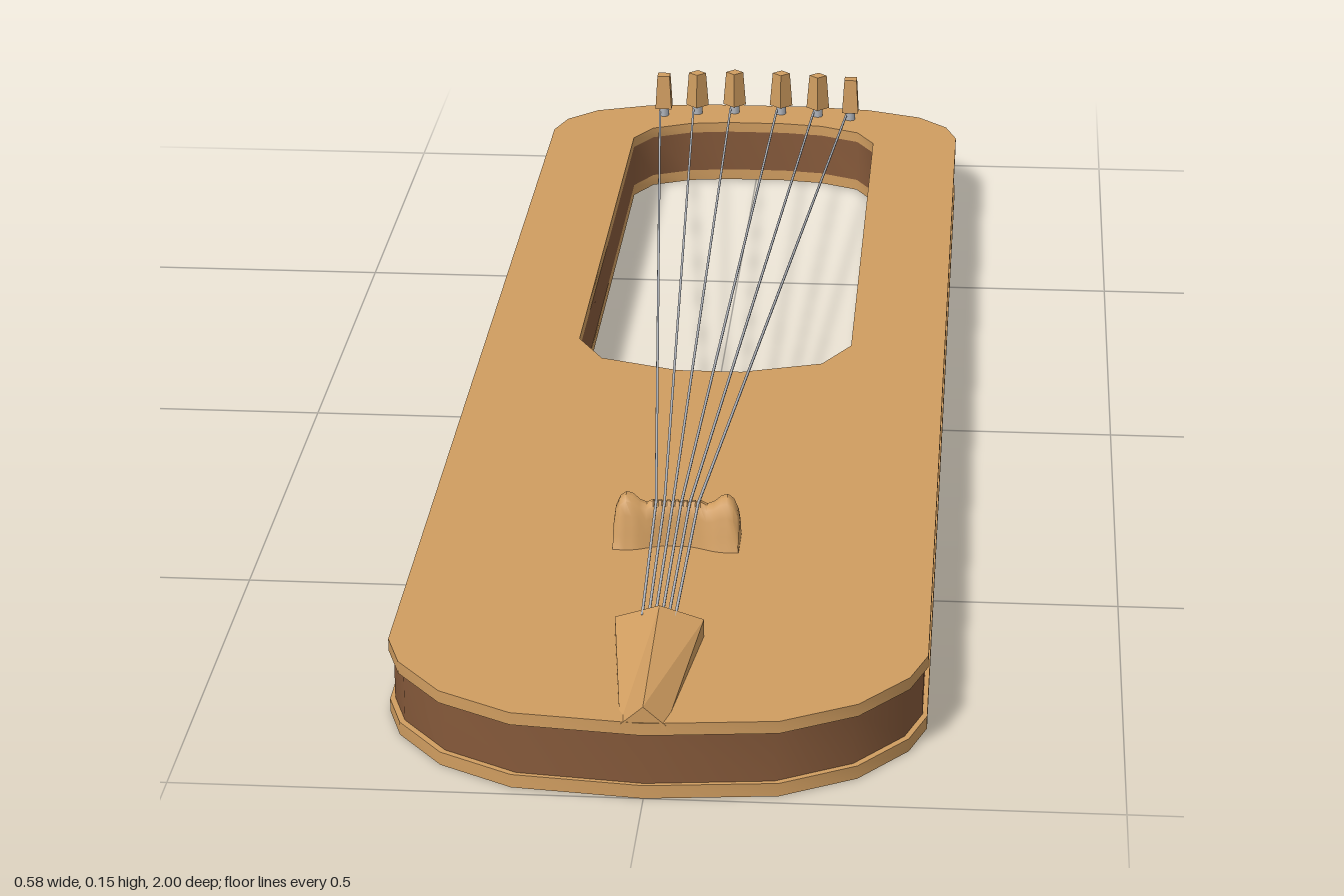
import * as THREE from 'three';
import { toCreasedNormals } from 'three/addons/utils/BufferGeometryUtils.js';

const mat = (name, color) => new THREE.MeshStandardMaterial({ name, color });

// Right half outlines as [x, z], from back to front
const OUTLINE = [[0.07, -0.998], [0.16, -0.988], [0.235, -0.96], [0.275, -0.918], [0.29, -0.87],
  [0.29, 0.82], [0.272, 0.874], [0.22, 0.94], [0.14, 0.985], [0, 1]];
const OPENING = [[0.04, -0.918], [0.095, -0.91], [0.148, -0.885], [0.172, -0.84],
  [0.172, -0.06], [0.138, 0.003], [0.04, 0.037]];

// Mirror a half outline into a closed anticlockwise loop, shrunk by inset
function loop(half, inset) {
  const mid = (half[0][1] + half[half.length - 1][1]) / 2;
  const right = half.map(([x, z]) =>
    new THREE.Vector2(x === 0 ? 0 : x - inset, -(z - Math.sign(z - mid) * inset)));
  const left = right.filter(p => p.x > 0).map(p => new THREE.Vector2(-p.x, p.y)).reverse();
  return [...right, ...left].reverse();
}

// Horizontal slab with the hand opening
function slab(y0, y1, inset) {
  const shape = new THREE.Shape(loop(OUTLINE, inset));
  shape.holes.push(new THREE.Path(loop(OPENING, 0)));
  const g = new THREE.ExtrudeGeometry(shape, { depth: y1 - y0, bevelEnabled: false });
  g.rotateX(-Math.PI / 2).translate(0, y0, 0);
  return toCreasedNormals(g, 0.7);
}

// Skin over equal-sized sections, each anticlockwise seen from the last end, with end caps
function loft(sections, crease) {
  const v = [];
  const first = sections[0], last = sections[sections.length - 1], n = first.length;
  for (let s = 0; s + 1 < sections.length; s++) {
    const a = sections[s], b = sections[s + 1];
    for (let i = 0; i < n; i++) {
      const j = (i + 1) % n;
      v.push(a[i], a[j], b[j], a[i], b[j], b[i]);
    }
  }
  for (let i = 1; i + 1 < n; i++) {
    v.push(first[0], first[i + 1], first[i], last[0], last[i], last[i + 1]);
  }
  const g = new THREE.BufferGeometry();
  g.setAttribute('position', new THREE.Float32BufferAttribute(v.flat(), 3));
  return toCreasedNormals(g, crease);
}

// Bridge: bell-shaped sections along x, two rounded ears and a notched, pinched saddle
function bridgeGeometry(saddleXs) {
  const ear = [[-0.071, 0.028], [-0.069, 0.043], [-0.064, 0.055], [-0.057, 0.06],
    [-0.05, 0.058], [-0.042, 0.051], [-0.034, 0.048]];
  const notches = saddleXs.flatMap(x => [[x - 0.003, 0.052], [x, 0.047], [x + 0.003, 0.052]]);
  const ridge = [...ear, ...notches, ...ear.map(([x, h]) => [-x, h]).reverse()];
  const bell = [[1, 0], [0.8, 0.3], [0.62, 0.65], [0.42, 0.9], [0.15, 1]];
  const profile = [...bell.map(([z, y]) => [-z, y]), ...bell.map(([z, y]) => [z, y]).reverse()];
  return loft(ridge.map(([x, h]) => {
    const depth = 0.013 + 0.014 * THREE.MathUtils.smoothstep(Math.abs(x), 0.01, 0.055);
    return profile.map(([z, y]) => [x, 0.086 + y * h, z * depth]);
  }), 0.8);
}

// Tailpiece: tapering wedge with a ridge
function tailpieceGeometry() {
  const section = (w, low, mid, top, z) =>
    [[-w, low, z], [w, low, z], [w, mid, z], [0, top, z], [-w, mid, z]];
  return loft([section(0.048, 0.082, 0.107, 0.122, 0.79),
    section(0.024, 0.078, 0.084, 0.105, 0.998)], 0.2);
}

// Thin straight rod between two points
function rod(a, b, radius) {
  const d = b.clone().sub(a);
  const g = new THREE.CylinderGeometry(radius, radius, d.length(), 6);
  g.applyQuaternion(new THREE.Quaternion().setFromUnitVectors(
    new THREE.Vector3(0, 1, 0), d.normalize()));
  return g.translate((a.x + b.x) / 2, (a.y + b.y) / 2, (a.z + b.z) / 2);
}

export function createModel() {
  const paleWood = mat('pale wood', 0xd09d60);
  const darkWood = mat('dark wood', 0x85593a);
  const metal = mat('string grey', 0xb2b6bd);
  const root = new THREE.Group();
  root.name = 'lyre';
  const add = (name, geometry, material, parent = root) => {
    const m = new THREE.Mesh(geometry, material);
    m.name = name;
    parent.add(m);
    return m;
  };

  // Body: dark frame between two overhanging boards
  add('backBoard', slab(0, 0.015, 0), paleWood);
  add('frame', slab(0.015, 0.073, 0.005), darkWood);
  add('soundBoard', slab(0.073, 0.087, 0), paleWood);

  // Bridge and tailpiece
  const saddleXs = [0, 1, 2, 3, 4, 5].map(i => (i - 2.5) * 0.0095);
  add('bridge', bridgeGeometry(saddleXs), paleWood).position.z = 0.548;
  add('tailpiece', tailpieceGeometry(), paleWood);

  // Tuning pegs on an arc, each with its string
  const pegs = [[-0.137, -0.945, 0], [-0.089, -0.957, 1], [-0.035, -0.964, 1],
    [0.033, -0.964, 1], [0.087, -0.957, 1], [0.135, -0.945, 0]];
  pegs.forEach(([x, z, turned], i) => {
    const peg = new THREE.Group();
    peg.name = 'peg' + (i + 1);
    peg.position.set(x, 0, z);
    root.add(peg);
    const head = new THREE.CylinderGeometry(0.0125, 0.0165, 0.049, 4).toNonIndexed();
    head.rotateY(turned ? 0 : Math.PI / 4).translate(0, 0.1245, 0);
    head.computeVertexNormals();
    add('pegHead', head, paleWood, peg);
    add('pegShaft', new THREE.CylinderGeometry(0.007, 0.007, 0.02, 8).translate(0, 0.093, 0), metal, peg);

    const tuned = new THREE.Vector3(x - 0.006, 0.093, z);
    const saddle = new THREE.Vector3(saddleXs[i], 0.135, 0.548);
    const tail = new THREE.Vector3(saddleXs[i] * 0.75, 0.114, 0.8);
    add('string' + (i + 1), rod(tuned, saddle, 0.0017), metal);
    add('stringTail' + (i + 1), rod(saddle, tail, 0.0017), metal);
  });
  return root;
}
